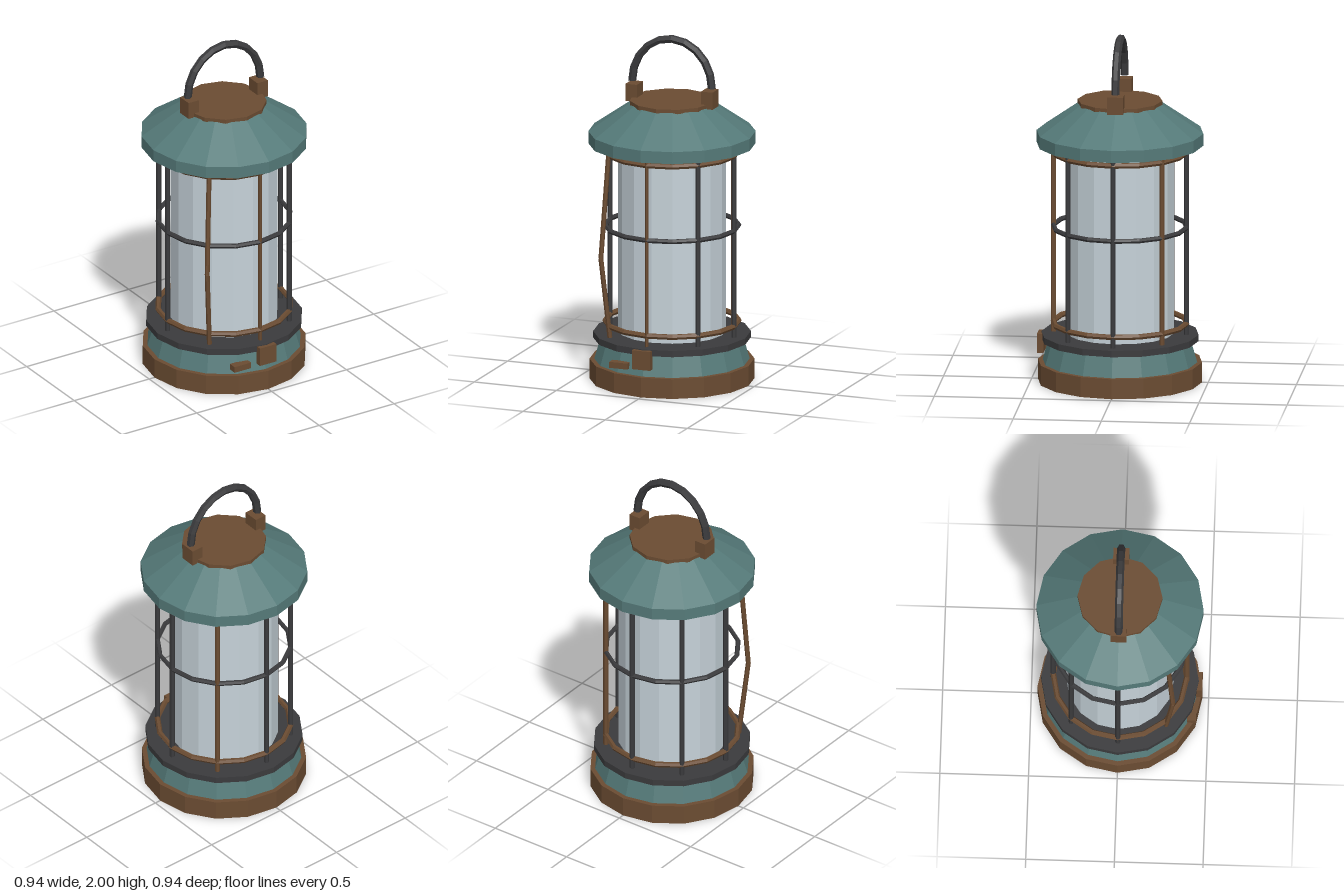
import * as THREE from 'three';

export function createModel() {
  const lantern = new THREE.Group();
  lantern.name = 'lantern';

  const paint = (name, color) => {
    const m = new THREE.MeshStandardMaterial({ color, flatShading: true });
    m.name = name;
    return m;
  };
  const teal = paint('teal paint', 0x557a79);
  const rust = paint('rusty brown', 0x6b4c32);
  const iron = paint('dark iron', 0x3b3b3d);
  const glass = paint('pale glass', 0xc6d2d9);

  const add = (name, geometry, material, x = 0, y = 0, z = 0) => {
    const mesh = new THREE.Mesh(geometry, material);
    mesh.name = name;
    mesh.position.set(x, y, z);
    lantern.add(mesh);
    return mesh;
  };
  // Upright round part given by its bottom and top heights
  const drum = (name, material, y0, y1, r0, r1 = r0, sides = 16) =>
    add(name, new THREE.CylinderGeometry(r1, r0, y1 - y0, sides), material, 0, (y0 + y1) / 2);
  const box = (name, material, w, h, d, x, y, z) =>
    add(name, new THREE.BoxGeometry(w, h, d), material, x, y, z);
  // Straight rod between two points
  const rod = (name, material, a, b, r) => {
    const dir = b.clone().sub(a);
    const mesh = add(name, new THREE.CylinderGeometry(r, r, dir.length(), 6), material);
    mesh.position.copy(a).add(b).multiplyScalar(0.5);
    mesh.quaternion.setFromUnitVectors(new THREE.Vector3(0, 1, 0), dir.normalize());
    return mesh;
  };

  // Base
  drum('foot', rust, 0, 0.115, 0.465);
  drum('tank', teal, 0.115, 0.24, 0.438, 0.402);
  drum('baseRim', iron, 0.238, 0.275, 0.445);
  box('clasp', rust, 0.11, 0.11, 0.036, 0, 0.215, 0.447);
  box('latch', rust, 0.11, 0.035, 0.05, -0.15, 0.163, 0.41);

  // Glass chimney
  drum('glassChimney', glass, 0.28, 1.38, 0.305);

  // Cage bars, the front-right one bent outwards
  const at = (angle, r, y) => new THREE.Vector3(Math.sin(angle) * r, y, Math.cos(angle) * r);
  for (let i = 0; i < 8; i++) {
    const a = (i * Math.PI) / 4;
    if (i === 7) {
      rod('bentBarUpper', rust, at(a, 0.435, 0.74), at(a, 0.385, 1.38), 0.014);
      rod('bentBarLower', rust, at(a, 0.38, 0.275), at(a, 0.435, 0.74), 0.014);
    } else {
      const bar = rod('cageBar', i === 0 || i === 3 ? rust : iron, at(a, 0.377, 0.275), at(a, 0.377, 1.38), 0.015);
      if (i === 0) bar.scale.x = 0.6;
    }
  }

  // Cage hoops
  for (const [y, material, r] of [[0.337, rust, 0.016], [0.893, iron, 0.014], [1.33, rust, 0.016]]) {
    const hoop = add('cageHoop', new THREE.TorusGeometry(0.377, r, 6, 16), material, 0, y);
    hoop.rotation.x = Math.PI / 2;
  }

  // Roof
  const roofProfile = [[0, 1.37], [0.472, 1.37], [0.472, 1.44], [0.235, 1.605], [0, 1.605]];
  add('roof', new THREE.LatheGeometry(roofProfile.map(([r, y]) => new THREE.Vector2(r, y)), 16), teal);
  drum('cap', rust, 1.6, 1.625, 0.24, 0.24, 12);

  // Handle and its lugs
  for (const s of [-1, 1]) box('handleLug', rust, 0.07, 0.1, 0.09, s * 0.23, 1.65, 0);
  class HandleArc extends THREE.Curve {
    getPoint(t, target = new THREE.Vector3()) {
      const a = Math.PI * t;
      return target.set(-0.242 * Math.cos(a), 1.712 + 0.265 * Math.sin(a), 0);
    }
  }
  add('handle', new THREE.TubeGeometry(new HandleArc(), 10, 0.023, 6), iron);
  // End caps of the handle
  for (const s of [-1, 1]) {
    const end = add('handleEnd', new THREE.CircleGeometry(0.023, 6), iron, s * 0.242, 1.712, 0);
    end.rotation.x = Math.PI / 2;
  }

  return lantern;
}
